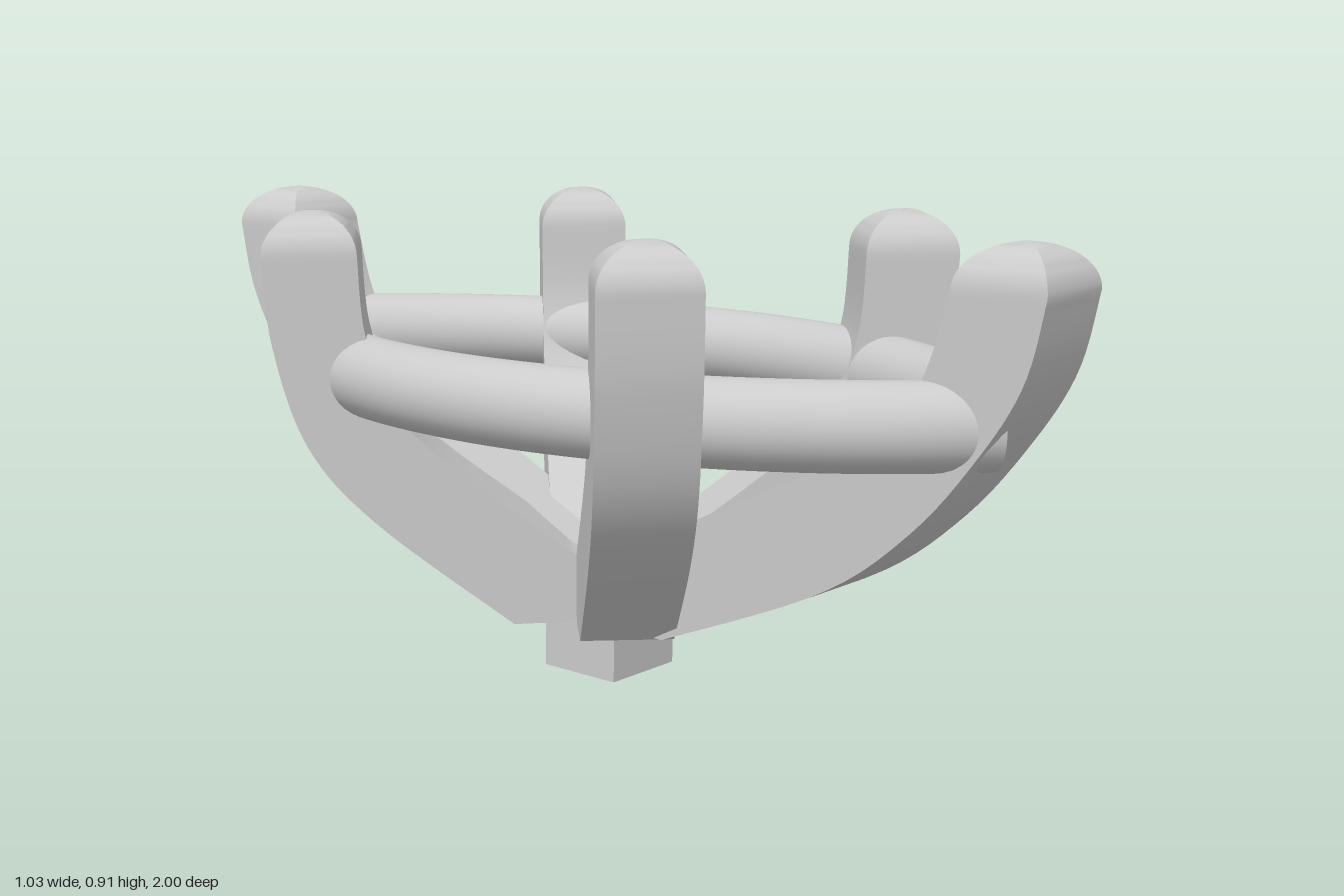
import * as THREE from 'three';
import { toCreasedNormals } from 'three/addons/utils/BufferGeometryUtils.js';

const W = 0.09; // half width of every prong
const material = new THREE.MeshStandardMaterial({ color: 0xcccccc });

// Smooth curve through (radius, height) points
function smooth(points, n) {
  return new THREE.SplineCurve(points.map(([r, y]) => new THREE.Vector2(r, y))).getPoints(n);
}

// Square prong lofted along +z from an outer and an inner edge, closed by a vaulted tip
function prongGeometry(outerPts, innerPts, start) {
  const sections = [];
  const add = (ro, yo, ri, yi, w) => sections.push([[-w, yo, ro], [w, yo, ro], [w, yi, ri], [-w, yi, ri]]);

  // root under the centre of the crown
  add(start, 0.11, start, 0.21, W);
  const outer = smooth(outerPts, 32), inner = smooth(innerPts, 32);
  outer.forEach((o, i) => add(o.x, o.y, inner[i].x, inner[i].y, W));

  // rounded tip: shrinking squares
  const o = outer[32], n = inner[32];
  const mid = (o.x + n.x) / 2, half = (o.x - n.x) / 2;
  for (let k = 1; k <= 12; k++) {
    const a = (k / 12) * Math.PI / 2;
    const s = Math.max(Math.cos(a), 0.002), y = o.y + 0.08 * Math.sin(a);
    add(mid + half * s, y, mid - half * s, y, W * s);
  }

  const position = [];
  for (let i = 0; i < sections.length - 1; i++) {
    for (let j = 0; j < 4; j++) {
      const k = (j + 1) % 4;
      const a = sections[i][j], b = sections[i][k], c = sections[i + 1][k], d = sections[i + 1][j];
      position.push(...a, ...b, ...c, ...a, ...c, ...d);
    }
  }
  const geometry = new THREE.BufferGeometry();
  geometry.setAttribute('position', new THREE.Float32BufferAttribute(position, 3));
  return toCreasedNormals(geometry, 0.55);
}

export function createModel() {
  const model = new THREE.Group();
  model.name = 'prongSetting';
  const add = (name, geometry) => {
    const mesh = new THREE.Mesh(geometry, material);
    mesh.name = name;
    model.add(mesh);
    return mesh;
  };

  // Square foot
  add('base', new THREE.BoxGeometry(2 * W, 0.13, 2 * W)).position.y = 0.065;

  // Long prongs at the front and back points
  const endProng = prongGeometry(
    [[0.21, 0.11], [0.567, 0.265], [0.755, 0.405], [0.887, 0.56], [0.965, 0.69], [1, 0.83]],
    [[0.14, 0.285], [0.48, 0.45], [0.63, 0.525], [0.725, 0.605], [0.782, 0.7], [0.82, 0.83]], 0);
  add('frontProng', endProng);
  add('backProng', endProng).rotation.y = Math.PI;

  // Four shorter diagonal prongs
  const sideProng = prongGeometry(
    [[0.17, 0.105], [0.433, 0.31], [0.562, 0.464], [0.624, 0.66], [0.64, 0.83]],
    [[0.05, 0.245], [0.31, 0.44], [0.4, 0.545], [0.448, 0.68], [0.46, 0.83]], -0.06);
  for (const [end, sz] of [['front', 1], ['back', -1]]) {
    for (const [side, sx] of [['Left', 1], ['Right', -1]]) {
      const prong = add(`${end}${side}Prong`, sideProng);
      prong.rotation.y = Math.atan2(sx, sz);
      prong.position.z = 0.03 * sz;
    }
  }

  // Pointed oval gallery rail made of two arcs that meet inside the end prongs
  const reach = 0.86, bulge = 0.397;
  const radius = (bulge ** 2 + reach ** 2) / (2 * bulge);
  const sweep = Math.asin(reach / radius);
  for (const [side, s] of [['left', 1], ['right', -1]]) {
    const points = [];
    for (let i = 0; i <= 16; i++) {
      const a = sweep * (i / 8 - 1);
      points.push(new THREE.Vector3(s * (radius * Math.cos(a) - radius + bulge), 0.595, radius * Math.sin(a)));
    }
    add(`${side}Rail`, new THREE.TubeGeometry(new THREE.CatmullRomCurve3(points), 64, 0.079, 32));
  }
  return model;
}
